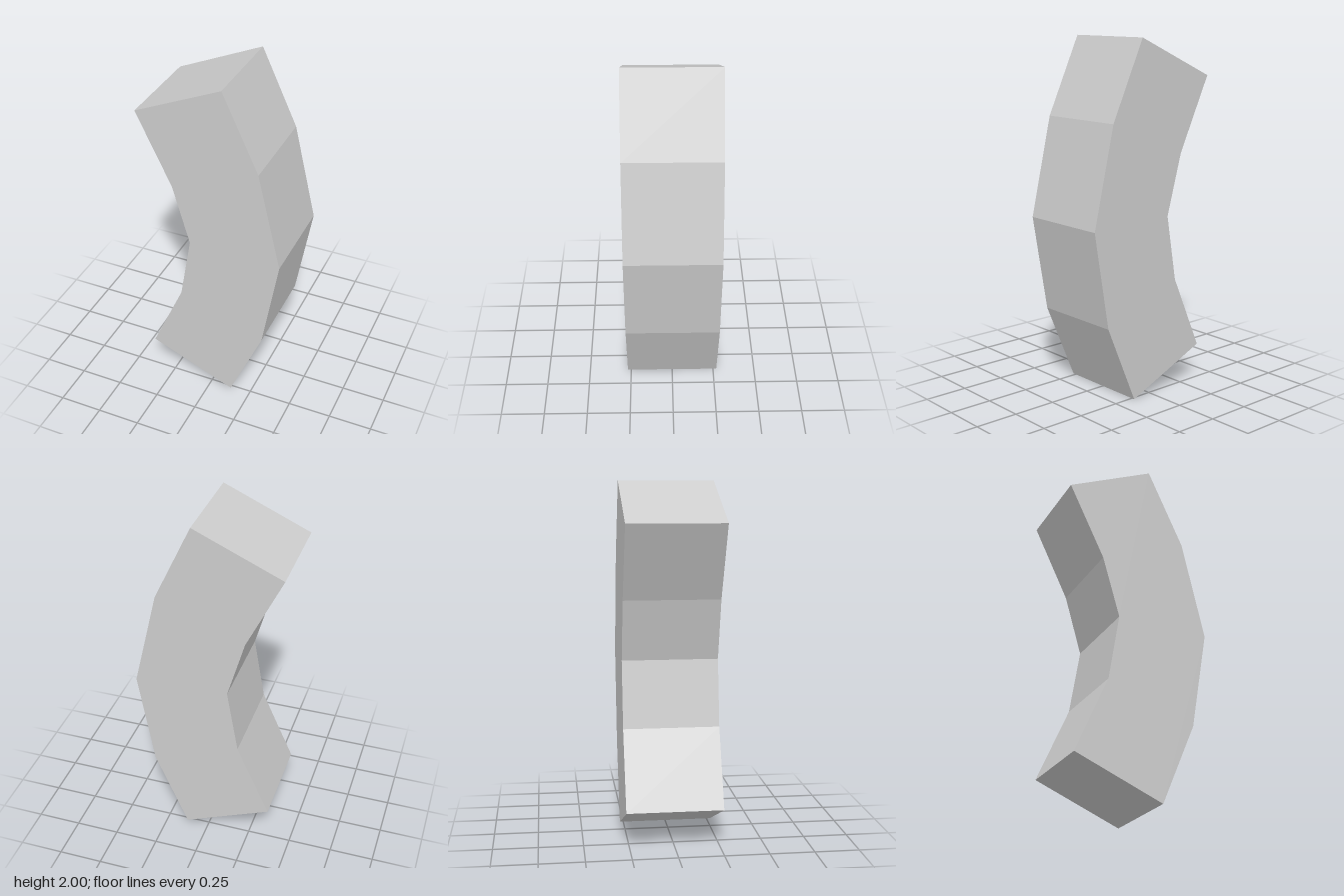
import * as THREE from 'three';

export function createModel() {
  const group = new THREE.Group();
  const grey = new THREE.MeshStandardMaterial({ color: 0xcccccc });
  grey.name = 'light grey';

  // Curved block: outer edge going up, then inner edge going down
  const outline = [
    [0.13, 0], [0.32, 0.45], [0.413, 1.0], [0.282, 1.56], [0.077, 2],
    [-0.417, 1.78], [-0.215, 1.36], [-0.117, 1.015], [-0.18, 0.64], [-0.368, 0.213],
  ].map(([x, y]) => new THREE.Vector2(x, y));
  const depth = 0.54;
  const geometry = new THREE.ExtrudeGeometry(new THREE.Shape(outline), { depth, bevelEnabled: false });
  geometry.translate(0, 0, -depth / 2);

  const block = new THREE.Mesh(geometry, grey);
  block.name = 'curvedBlock';
  group.add(block);
  return group;
}
